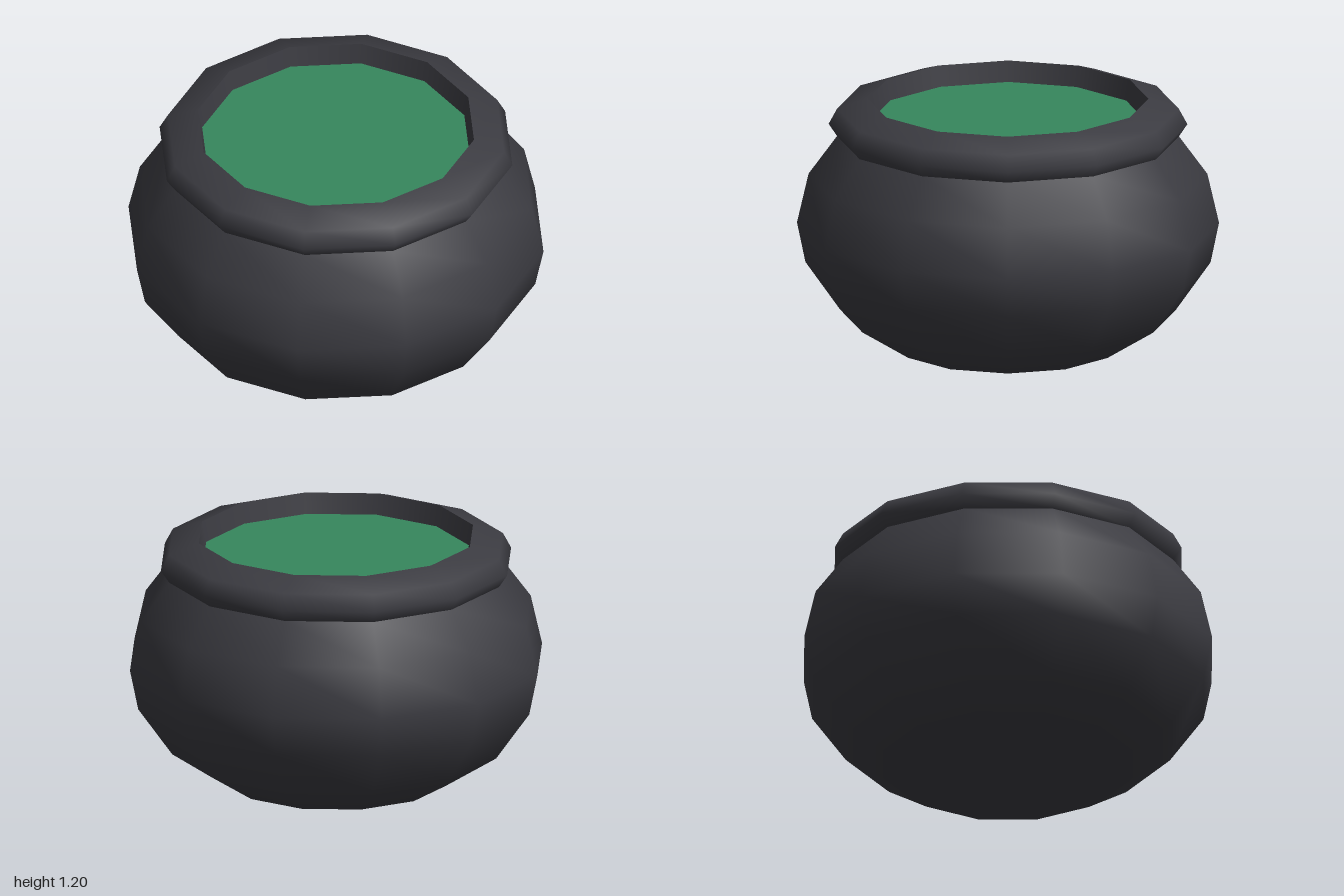
import * as THREE from 'three';

const SIDES = 12;

export function createModel() {
  const group = new THREE.Group();
  group.name = 'cauldron';

  const iron = new THREE.MeshStandardMaterial({ color: 0x3b3b41 });
  iron.name = 'dark iron';
  const green = new THREE.MeshStandardMaterial({ color: 0x36875d });
  green.name = 'green brew';

  const add = (name, geometry, material) => {
    const mesh = new THREE.Mesh(geometry, material);
    mesh.name = name;
    group.add(mesh);
    return mesh;
  };
  // Turned twelve-sided shell, smooth along its [radius, height] profile
  const turned = (points) =>
    new THREE.LatheGeometry(points.map(([r, y]) => new THREE.Vector2(r, y)), SIDES);

  // Round belly with closed, flat base
  add('belly', turned([
    [0, 0], [0.545, 0], [0.795, 0.16], [0.96, 0.395],
    [1, 0.59], [0.945, 0.83], [0.81, 1.015],
  ]), iron);

  // Flared lip above the neck
  add('rim', turned([[0.81, 1.015], [0.85, 1.075], [0.81, 1.15], [0.665, 1.2]]), iron);

  // Inside of the mouth, down to the liquid
  add('innerWall', turned([[0.665, 1.2], [0.645, 1.1]]), iron);

  // Liquid surface
  const liquid = add('liquid', new THREE.CircleGeometry(0.647, SIDES).rotateX(-Math.PI / 2), green);
  liquid.position.y = 1.1;

  return group;
}
